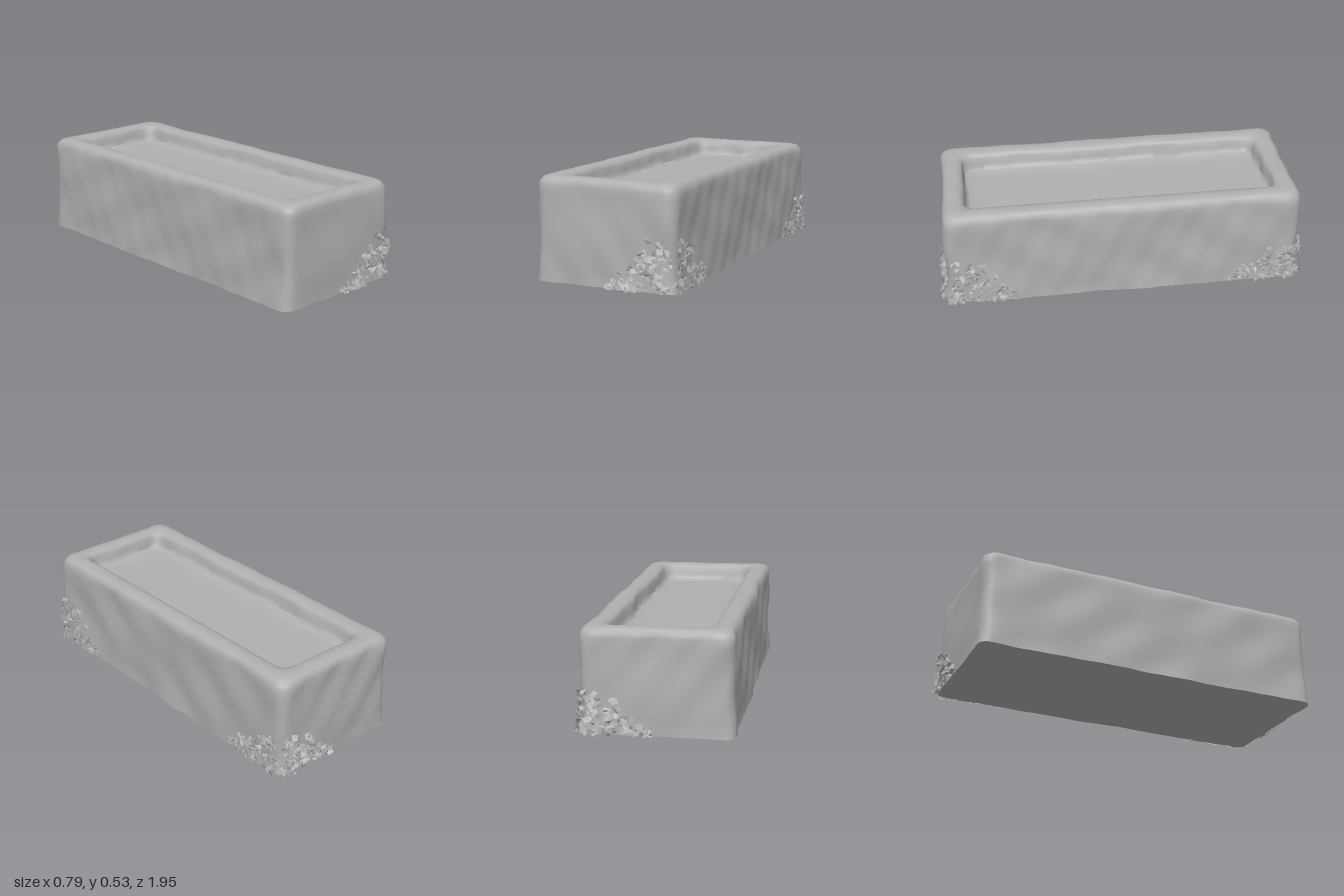
import * as THREE from 'three';
import { toCreasedNormals, mergeGeometries } from 'three/addons/utils/BufferGeometryUtils.js';

const CX = -0.015, HX = 0.375, HZ = 0.937;

// Seeded random numbers
let seed = 7;
const rand = () => (seed = (seed * 16807) % 2147483647) / 2147483647;
const range = (a, b) => a + (b - a) * rand();

// Gentle lumps for the weathered stone
const lumps = (x, y, z) =>
  0.4 * Math.sin(9 * x + 7 * z + 11 * y) + 0.35 * Math.sin(17 * z - 13 * y + 5 * x + 1) +
  0.3 * Math.sin(23 * y + 29 * x - 11 * z + 2) + 0.25 * Math.sin(37 * z + 31 * x + 19 * y);

// Rounded rectangle in plan, counterclockwise seen from above: [x, z, outward x, outward z]
function planRing(hx, hz, r) {
  r = Math.min(r, hx);
  const pts = [], corners = [[1, -1], [-1, -1], [-1, 1], [1, 1]], arc = 5;
  corners.forEach(([sx, sz], c) => {
    const cx = sx * (hx - r), cz = sz * (hz - r);
    for (let i = 0; i <= arc; i++) {
      const a = (c + i / arc) * Math.PI / 2, nx = Math.cos(a), nz = -Math.sin(a);
      pts.push([cx + r * nx, cz + r * nz, nx, nz]);
    }
    // straight edge towards the next corner
    const [tx, tz] = corners[(c + 1) % 4], last = pts[pts.length - 1];
    const ex = tx * (hx - r) + r * last[2], ez = tz * (hz - r) + r * last[3];
    const n = c % 2 ? 44 : 18;
    for (let i = 1; i < n; i++) {
      const t = i / n;
      pts.push([last[0] + (ex - last[0]) * t, last[1] + (ez - last[1]) * t, last[2], last[3]]);
    }
  });
  return pts;
}

// Trough: one skin from the underside, up the walls, over the rim and into the basin
function troughGeometry() {
  // inset, height, corner radius, lump strength, vertical lump strength
  const rings = [[HX, 0.006, 0.01, 0, 0], [0.2, 0.006, 0.04, 0, 0], [-0.006, 0.006, 0.05, 0.008, 0]];
  for (let i = 1; i <= 13; i++) {
    const t = i / 13;
    rings.push([0.004 * t - 0.004 * (1 - t), 0.006 + 0.474 * t, 0.055, 0.009, 0]);
  }
  rings.push(
    [0.008, 0.5, 0.06, 0.007, 0.002], [0.02, 0.517, 0.06, 0.005, 0.002], [0.04, 0.525, 0.06, 0.003, 0.002],
    [0.07, 0.526, 0.06, 0, 0.003], [0.095, 0.523, 0.06, 0.003, 0.003], [0.112, 0.515, 0.06, 0.005, 0.003],
    [0.12, 0.5, 0.06, 0.006, 0.002], [0.125, 0.47, 0.06, 0.007, 0], [0.132, 0.445, 0.06, 0.005, 0],
    [0.15, 0.436, 0.06, 0, 0.003], [0.22, 0.434, 0.05, 0, 0.003], [HX, 0.434, 0.01, 0, 0]);

  const pos = [], index = [];
  let n = 0;
  for (const [inset, y, r, push, lift] of rings) {
    const ring = planRing(HX - inset, HZ - inset, r);
    n = ring.length;
    for (const [x, z, nx, nz] of ring) {
      const d = lumps(x, y, z);
      const tilt = y > 0.4 ? -0.008 * x : 0;
      pos.push(CX + x + nx * d * push, y + d * lift + tilt, z + nz * d * push);
    }
  }
  for (let k = 0; k < rings.length - 1; k++) {
    for (let j = 0; j < n; j++) {
      const a = k * n + j, b = k * n + (j + 1) % n;
      index.push(a, b, b + n, a, b + n, a + n);
    }
  }
  const geo = new THREE.BufferGeometry();
  geo.setAttribute('position', new THREE.Float32BufferAttribute(pos, 3));
  geo.setIndex(index);
  return toCreasedNormals(geo, 0.9);
}

// One folded, jagged leaf flake
function leaf(size) {
  const s = () => size * range(0.6, 1.1), fold = size * range(0.1, 0.45);
  const p = [[-s(), 0, 0], [0, -s(), fold], [s(), 0, 0], [0, s(), fold], [s() * 0.8, s() * 0.8, -fold * 0.4]];
  const geo = new THREE.BufferGeometry();
  const tris = [0, 1, 3, 1, 2, 3, 2, 4, 3];
  geo.setAttribute('position', new THREE.Float32BufferAttribute(tris.flatMap(i => p[i]), 3));
  geo.computeVertexNormals();
  return geo;
}

// Leaf clump wrapped around one bottom corner on the +x side; end is +1 (front) or -1 (back)
function clumpGeometry(end, height) {
  const leaves = [], dummy = new THREE.Object3D();
  while (leaves.length < 210) {
    const s = range(-0.34, 0.38);                       // below 0: end wall, above 0: long wall
    const reach = s < 0 ? 1 + s / 0.34 : 1 - s / 0.38;
    const top = height * Math.min(1, reach * 1.6);
    const y = 0.012 + top * Math.pow(rand(), 1.25);
    const low = 1 - y / 0.3;
    const out = range(-0.002, 0.012 + 0.018 * low * Math.min(1, reach * 1.5));
    const wallX = CX + HX, wallZ = HZ;
    if (s < 0) {
      dummy.position.set(wallX - 0.01 + s, y, end * (wallZ + out));
      dummy.rotation.set(range(-0.8, 0.4) * end, (end < 0 ? Math.PI : 0) + range(-0.6, 0.6), 0);
    } else {
      dummy.position.set(wallX + out * 0.75, y, end * (wallZ - 0.01 - s));
      dummy.rotation.set(0, Math.PI / 2 + range(-0.6, 0.6), range(-0.5, 0.5));
    }
    dummy.rotateX(range(-0.5, 0.3));
    dummy.rotateZ(range(0, Math.PI * 2));
    dummy.updateMatrix();
    leaves.push(leaf(range(0.013, 0.026)).applyMatrix4(dummy.matrix));
  }
  const geo = mergeGeometries(leaves);
  // keep the foliage above the ground and within the overall length
  const p = geo.attributes.position;
  for (let i = 0; i < p.count; i++) {
    p.setXYZ(i, Math.min(p.getX(i), 0.4), Math.max(p.getY(i), 0), THREE.MathUtils.clamp(p.getZ(i), -1, 1));
  }
  geo.computeVertexNormals();
  return geo;
}

export function createModel() {
  seed = 7;
  const stone = new THREE.MeshStandardMaterial({ color: 0xb0b0b0, side: THREE.DoubleSide });
  stone.name = 'paleGrey';
  const model = new THREE.Group();
  model.name = 'stoneTrough';
  const add = (name, geo) => {
    const mesh = new THREE.Mesh(geo, stone);
    mesh.name = name;
    model.add(mesh);
  };
  add('trough', troughGeometry());
  add('frontLeafClump', clumpGeometry(1, 0.25));
  add('backLeafClump', clumpGeometry(-1, 0.2));
  return model;
}
